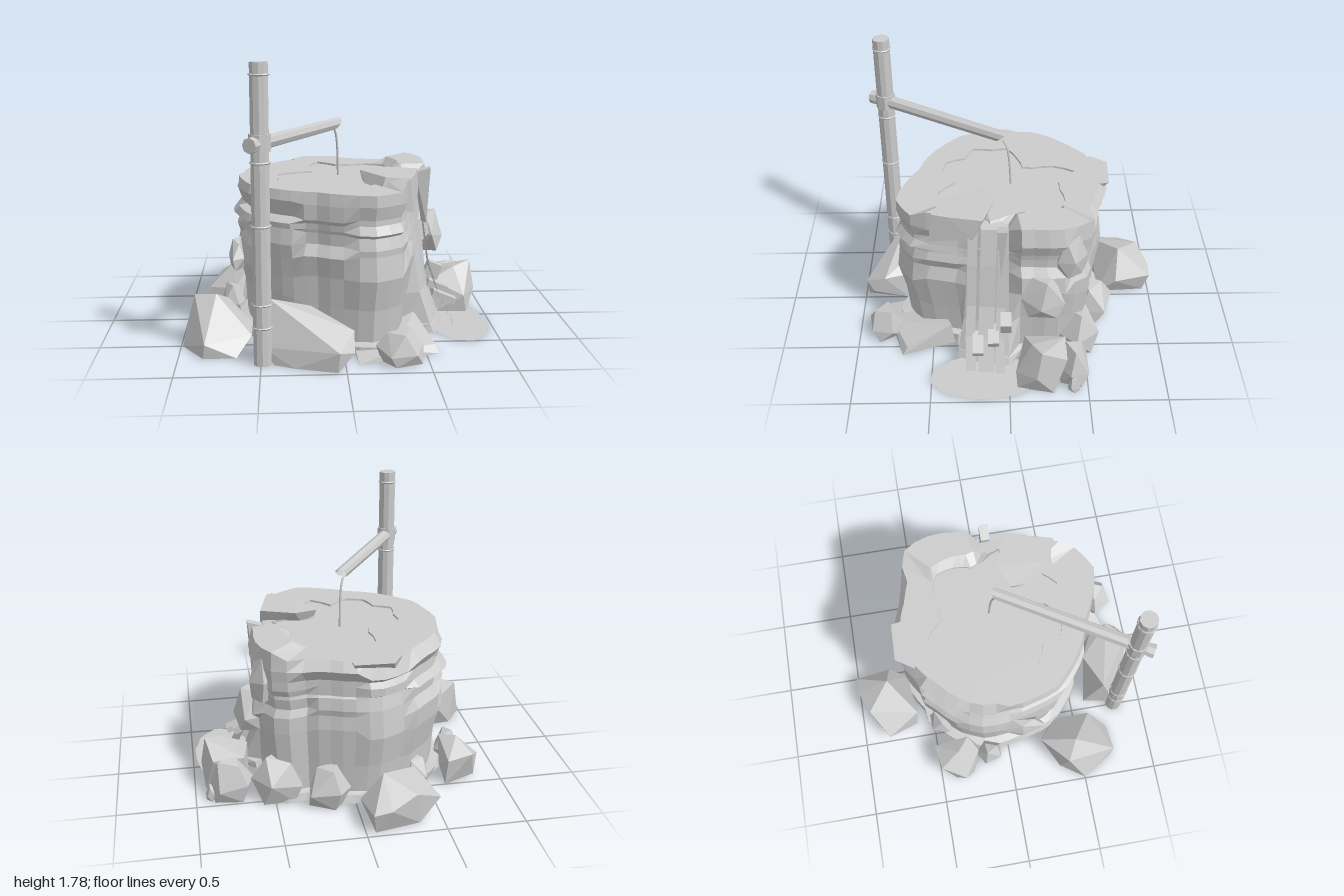
import * as THREE from 'three';
import { ConvexGeometry } from 'three/addons/geometries/ConvexGeometry.js';

const rockMat = new THREE.MeshStandardMaterial({ color: 0xcccccc, flatShading: true, side: THREE.DoubleSide });
const smoothMat = new THREE.MeshStandardMaterial({ color: 0xcccccc, side: THREE.DoubleSide });

let seed = 7;
const rnd = () => { seed = (seed * 16807) % 2147483647; return seed / 2147483647 * 2 - 1; };

// Radii every 15 degrees, from +x round towards the front
const RIM = [.57, .50, .50, .58, .70, .73, .66, .60, .61, .62, .64, .63, .64, .67, .66, .64, .66, .68, .65, .62, .63, .70, .67, .60];
const POOL = [.36, .44, .27, .21, .42, .47, .34, .45, .47, .40, .46, .40, .40, .28, .20, .23, .36, .46, .33, .35, .42, .45, .40, .34];
const N = 48;
const sample = (table, i) => (table[(i >> 1) % 24] + table[((i + 1) >> 1) % 24]) / 2;
const polar = (i, r, y) => {
  const a = (i / N) * Math.PI * 2;
  return [r * Math.cos(a), y, r * Math.sin(a)];
};

function add(group, name, geometry, material = rockMat) {
  const mesh = new THREE.Mesh(geometry, material);
  mesh.name = name;
  group.add(mesh);
  return mesh;
}

// Closed loops of equal point count, joined into a skin
function skin(loops) {
  const n = loops[0].length, index = [];
  for (let j = 0; j < loops.length - 1; j++) {
    for (let i = 0; i < n; i++) {
      const a = j * n + i, b = j * n + (i + 1) % n;
      index.push(a, a + n, b, b, a + n, b + n);
    }
  }
  const g = new THREE.BufferGeometry();
  g.setAttribute('position', new THREE.Float32BufferAttribute(loops.flat(2), 3));
  g.setIndex(index);
  g.computeVertexNormals();
  return g;
}

// Height of the rim: raised beside the channel, dipped where the water leaves
const topHeight = i => {
  const deg = i * 360 / N;
  return (deg > 28 && deg < 54) || (deg > 308 && deg < 354) ? 1.035 : deg < 24 ? 0.965 : 0.985;
};

function cliff() {
  // [height, radius scale, block roughness, height roughness]
  const levels = [
    [0, 1.03, .015, 0], [.05, 1.02, .015, .005], [.06, .94, .01, .005], [.28, .97, .012, .04],
    [.48, 1.02, .02, .04], [.58, 1.03, .025, .03], [.65, .99, .03, .02], [.73, .97, .025, .015],
    [.745, 1.02, .03, .01], [.79, 1.01, .03, .015], [.83, .98, .025, .02], [.9, 1.01, .025, .03], [1, 1, .01, 0],
  ];
  const loops = levels.map(([y, scale, rough, lift]) => {
    const loop = [];
    let dr = 0, dy = 0;
    for (let i = 0; i < N; i++) {
      if (i % 4 === 0) { dr = rnd() * rough; dy = rnd() * lift; }
      const channel = i <= 4;
      const back = i > 31 && i < 41;
      const bevel = y === 1 && i > 24 && i < 41 ? .93 : back && y < .88 ? .93 : 1;
      const r = channel ? .49 + .1 * (1 - y) + .1 * (1 - y) ** 4 : sample(RIM, i) * scale * bevel + dr;
      loop.push(polar(i, r, y === 1 ? topHeight(i) : y + dy));
    }
    return loop;
  });
  // Flat top, then the low wall of the pool
  const ring = (f, height) => Array.from({ length: N }, (_, i) =>
    polar(i, Math.min(sample(RIM, i), .6) * (1 - f) + sample(POOL, i) * f, height(i)));
  loops.push(ring(.7, topHeight), ring(1, () => .985), ring(1.02, () => .95));
  return skin(loops);
}

// Flat sheet of an outline given by radius
const sheet = (radius, n) => {
  const pts = Array.from({ length: n }, (_, i) => {
    const a = i / n * Math.PI * 2, r = radius(i);
    return new THREE.Vector2(r * Math.cos(a), -r * Math.sin(a));
  });
  return new THREE.ShapeGeometry(new THREE.Shape(pts)).rotateX(-Math.PI / 2);
};

// Ribbon that follows points, spread along z
function ribbon(points, width) {
  const pos = [], index = [];
  points.forEach(([x, y, z], i) => {
    pos.push(x, y, z - width / 2, x, y, z + width / 2);
    if (i) index.push(2 * i - 2, 2 * i, 2 * i - 1, 2 * i - 1, 2 * i, 2 * i + 1);
  });
  const g = new THREE.BufferGeometry();
  g.setAttribute('position', new THREE.Float32BufferAttribute(pos, 3));
  g.setIndex(index);
  g.computeVertexNormals();
  return g;
}

const hull = points => new ConvexGeometry(points.map(p => new THREE.Vector3(...p)));

// Faceted stone filling a box: wide belly, narrower foot and crown
function stone(x, z, w, d, h, turn, y = 0) {
  const pts = [];
  [[0, .85, 4], [.4, 1, 5], [.96, .55, 3]].forEach(([f, s, n], k) => {
    for (let i = 0; i < n; i++) {
      const a = turn + k * .5 + i / n * Math.PI * 2, q = s * (1 + rnd() * .1) / 2;
      pts.push([x + w * q * Math.cos(a), y + h * (f + (k ? rnd() * .1 : 0)), z + d * q * Math.sin(a)]);
    }
  });
  return hull(pts);
}

export function createModel() {
  seed = 7;
  const model = new THREE.Group();
  model.name = 'rockFountain';

  add(model, 'rockBasin', cliff());
  add(model, 'poolWater', sheet(i => sample(POOL, i) + .015, N)).position.y = .972;
  add(model, 'puddle', sheet(i => 1 + .03 * Math.sin(i * 2.3), 28).scale(.19, 1, .35)).position.set(.79, .005, .16);

  // Boulders round the foot
  const boulders = new THREE.Group();
  boulders.name = 'boulders';
  model.add(boulders);
  add(boulders, 'rightBoulder', hull([[-.99, 0, .5], [-.97, .06, .48], [-.92, .3, .38], [-.78, .32, .45], [-.72, .22, .22],
    [-.56, .1, .36], [-.56, .1, .6], [-.65, 0, .72], [-.85, 0, .72], [-.84, .09, .73], [-.6, 0, .3], [-.88, 0, .34]]));
  add(boulders, 'frontBoulder', hull([[-.45, .37, .71], [-.5, .1, .8], [-.42, 0, .84], [-.3, 0, .9], [-.05, 0, .98],
    [-.04, .12, .99], [.05, .1, .93], [.05, .21, .85], [0, .2, .72], [-.2, .29, .62], [-.44, 0, .6], [0, 0, .7]]));
  add(boulders, 'backBoulder', hull([[-.5, .12, -.82], [-.4, 0, -.62], [-.38, .22, -.6], [-.32, .22, -.93], [-.15, .16, -1],
    [-.04, .14, -1], [-.14, .3, -.78], [0, .12, -.76], [-.04, 0, -.64], [-.06, 0, -.96], [-.35, 0, -.9]]));
  add(boulders, 'leftBoulder', hull([[.66, 0, -.06], [.64, .22, -.1], [.8, .3, -.14], [.92, .33, -.2], [.95, .14, -.17],
    [.88, 0, -.05], [.86, .12, -.04], [.93, 0, -.28], [.88, .24, -.36], [.68, .25, -.36], [.66, 0, -.36]]));
  add(boulders, 'rearRightBoulder', hull([[-.88, .12, -.33], [-.8, .2, -.49], [-.63, .18, -.52], [-.6, .1, -.4], [-.62, .26, -.28],
    [-.72, .28, -.36], [-.66, 0, -.2], [-.82, 0, -.27], [-.84, 0, -.4], [-.62, 0, -.5], [-.7, .14, -.22]]));
  [
    [.33, .83, .29, .25, .21, .3], [.77, -.41, .3, .22, .27, 1], [-.71, -.14, .16, .18, .2, .5],
    [.16, -.57, .3, .28, .27, 1.4], [.47, -.45, .34, .3, .3, .8], [.9, -.41, .08, .09, .1, 0],
    [-.42, -.44, .2, .2, .2, 2.2],
  ].forEach((s, i) => add(boulders, 'stone' + (i + 1), stone(...s)));
  add(boulders, 'footSlab', hull([[.06, 0, .5], [.06, .05, .6], [.08, 0, .86], [.3, .05, .78], [.58, 0, .7], [.56, .05, .67],
    [.46, .16, .38], [.46, 0, .36]]));

  // Rocks jutting from the cliff
  [
    [.62, -.22, .2, .28, .26, .9, .42], [.55, -.38, .18, .2, .3, 1.7, .68], [-.66, .1, .12, .3, .18, .2, .4],
  ].forEach((s, i) => add(model, 'cliffRock' + (i + 1), stone(...s)));
  // Thin shelf at the back of the rim
  add(model, 'backShelf', hull([[-.22, .985, -.67], [.02, .985, -.66], [-.3, .985, -.55], [.05, .985, -.5], [-.25, .89, -.57], [0, .89, -.57]]));
  add(model, 'lipRock', hull([[.13, 1.035, .14], [.28, 1.045, .08], [.5, 1.045, .16], [.5, .9, .22], [.45, 1.04, .38],
    [.43, .84, .5], [.42, 1.04, .48], [.27, 1.04, .42], [.2, .85, .5], [.18, .85, .2]]));

  // Waterfall: thin strands down the channel, over small steps
  const fall = new THREE.Group();
  fall.name = 'waterfall';
  model.add(fall);
  [[.03, .06, .02], [.12, .1, .01], [.22, .06, 0]].forEach(([z, w, dx], i) => add(fall, 'strand' + (i + 1), ribbon([
    [.4, .975, z * .6 + .05], [.48 + dx, .97, z], [.53 + dx, .72, z + .01], [.57 + dx, .42, z + .02],
    [.64 + dx, .22, z + .03], [.74 + dx, .01, z + .03]], w)));
  add(fall, 'sideSlab', hull([[.6, 1.03, .07], [.6, 1.03, .01], [.5, 1.0, .07], [.5, 1.0, .01], [.58, .66, .05], [.55, .66, .01]]));
  [[.63, .33, .02, .1, .1], [.65, .24, .1, .14, .05], [.68, .2, .2, .16, .04]].forEach(([x, y, z, w, h], i) => {
    const step = add(fall, 'step' + (i + 1), new THREE.BoxGeometry(w, h, .07));
    step.position.set(x, y, z);
    step.rotation.z = -.4;
  });

  // Upright bamboo pole with joint rings
  const pole = new THREE.Group();
  pole.name = 'bambooPole';
  pole.position.set(-.488, 0, .81);
  model.add(pole);
  add(pole, 'poleShaft', new THREE.CylinderGeometry(.055, .057, 1.78, 10)).position.y = .89;
  [1.71, 1.21, .84, .37, .23].forEach(y => {
    add(pole, 'poleRing', new THREE.TorusGeometry(.056, .007, 5, 10).rotateX(Math.PI / 2)).position.y = y;
  });
  add(pole, 'poleCollar', new THREE.CylinderGeometry(.064, .064, .1, 8)).position.y = 1.325;

  // Spout with a slanted mouth
  const spout = new THREE.Group();
  spout.name = 'bambooSpout';
  spout.position.set(-.535, 1.32, .885);
  spout.lookAt(-.012, 1.32, .02);
  model.add(spout);
  const tube = new THREE.CylinderGeometry(.038, .043, 1, 8, 1, true).rotateX(Math.PI / 2).translate(0, 0, .5);
  const p = tube.attributes.position;
  for (let i = 0; i < p.count; i++) if (p.getZ(i) > .5) p.setZ(i, p.getZ(i) + p.getY(i) * 1.1);
  add(spout, 'spoutTube', tube);
  add(spout, 'spoutEnd', new THREE.CylinderGeometry(.046, .046, .04, 8).rotateX(Math.PI / 2));

  // Trickle of water from the mouth to the pool
  const trickle = new THREE.CatmullRomCurve3([[-.03, 1.29, .03], [-.015, 1.25, .005], [-.004, 1.14, -.012], [0, .96, -.022]]
    .map(v => new THREE.Vector3(...v)));
  add(model, 'waterTrickle', new THREE.TubeGeometry(trickle, 12, .007, 6), smoothMat);

  return model;
}
